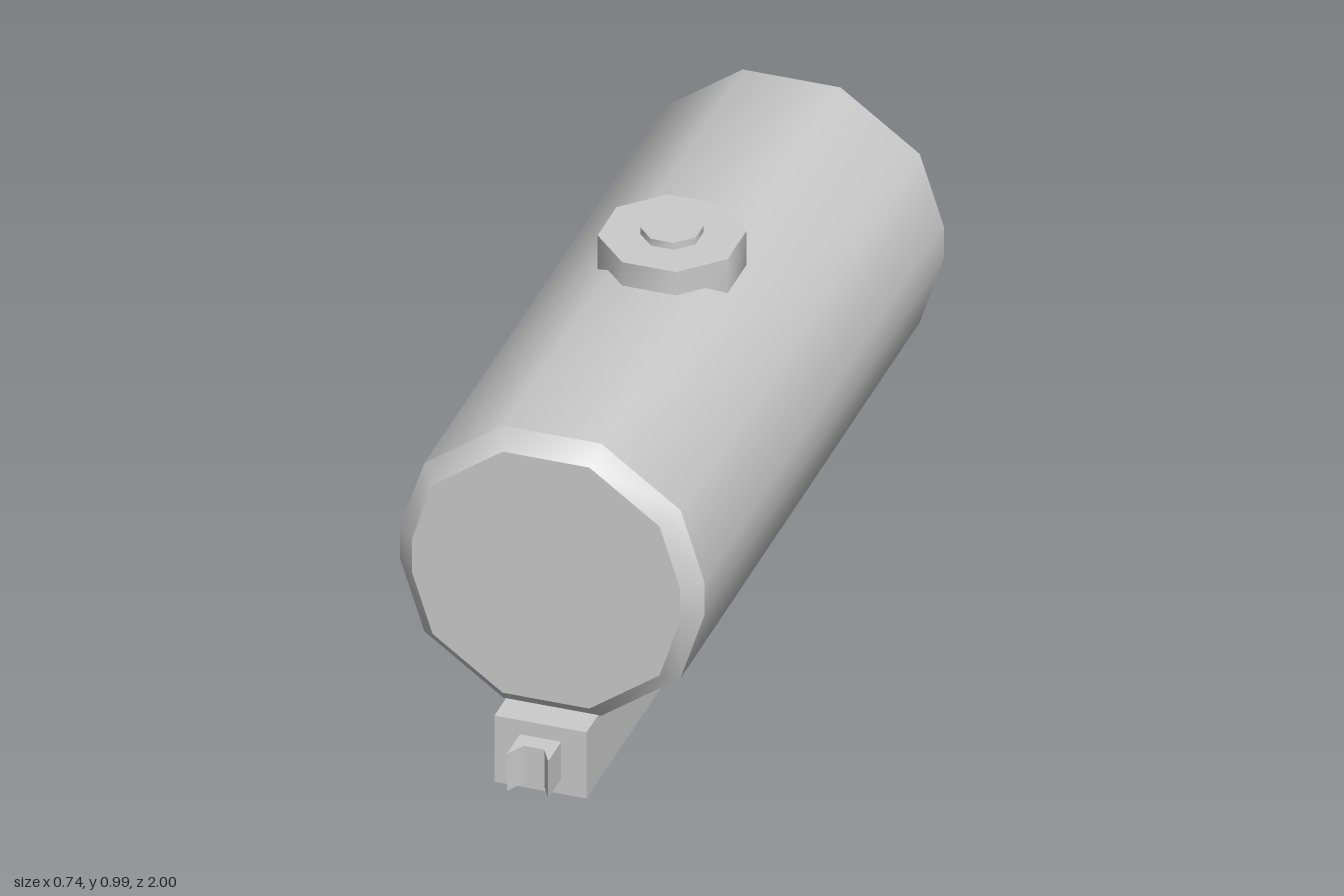
import * as THREE from 'three';
import { toCreasedNormals } from 'three/addons/utils/BufferGeometryUtils.js';

const material = new THREE.MeshStandardMaterial({ color: 0xcccccc });

function add(group, name, geometry, x = 0, y = 0, z = 0) {
  const mesh = new THREE.Mesh(geometry, material);
  mesh.name = name;
  mesh.position.set(x, y, z);
  group.add(mesh);
  return mesh;
}

// Ten-sided outline whose two side corners are cut off flat at x = +-side
function outline(radius, side) {
  const points = [];
  for (let i = 0; i < 10; i++) {
    const a = (i * Math.PI) / 5;
    if (i % 5 === 0) {
      const s = i === 0 ? 1 : -1;
      points.push([s * side, -s * 0.044], [s * side, s * 0.044]);
    } else points.push([radius * Math.cos(a), radius * Math.sin(a)]);
  }
  return points;
}

// Barrel lofted along z through four rings, closed by flat ends
function tankGeometry() {
  const outer = outline(0.385, 0.37);
  const inner = outline(0.341, 0.326);
  const rings = [[inner, -0.872], [outer, -0.828], [outer, 0.828], [inner, 0.872]];
  const n = outer.length;
  const positions = [];
  const index = [];
  for (const [ring, z] of rings) for (const [x, y] of ring) positions.push(x, y, z);
  for (let r = 0; r < rings.length - 1; r++) {
    for (let i = 0; i < n; i++) {
      const a = r * n + i, b = r * n + ((i + 1) % n);
      index.push(a, b, b + n, a, b + n, a + n);
    }
  }
  const last = (rings.length - 1) * n;
  for (let i = 1; i < n - 1; i++) {
    index.push(0, i + 1, i);
    index.push(last, last + i, last + i + 1);
  }
  const geometry = new THREE.BufferGeometry();
  geometry.setAttribute('position', new THREE.Float32BufferAttribute(positions, 3));
  geometry.setIndex(index);
  return toCreasedNormals(geometry, 0.7);
}

// Upright octagonal prism with its flats facing the axes
function octagon(apothem, height) {
  const r = apothem / Math.cos(Math.PI / 8);
  const geometry = new THREE.CylinderGeometry(r, r, height, 8);
  geometry.rotateY(Math.PI / 8);
  return toCreasedNormals(geometry, 0.9);
}

// Notched block, drawn in plan and extruded upward; it points along +z
function couplerGeometry() {
  const plan = [[-0.05, 0], [-0.05, -0.1], [-0.025, -0.055], [0.025, -0.055], [0.05, -0.1], [0.05, 0]];
  const shape = new THREE.Shape(plan.map(([x, y]) => new THREE.Vector2(x, y)));
  const geometry = new THREE.ExtrudeGeometry(shape, { depth: 0.1, bevelEnabled: false });
  geometry.rotateX(-Math.PI / 2);
  return geometry;
}

export function createModel() {
  const model = new THREE.Group();
  model.name = 'tankWagon';

  add(model, 'tank', tankGeometry(), 0, 0.543, 0);
  add(model, 'chassisBeam', new THREE.BoxGeometry(0.224, 0.178, 1.82), 0, 0.089, 0);

  // Filler dome and its cap
  add(model, 'fillerDome', octagon(0.158, 0.13), 0, 0.907, 0);
  add(model, 'fillerCap', octagon(0.067, 0.03), 0, 0.975, 0);

  // Couplers at both ends of the beam
  const coupler = couplerGeometry();
  add(model, 'frontCoupler', coupler, 0, 0.04, 0.9);
  add(model, 'backCoupler', coupler, 0, 0.04, -0.9).rotation.y = Math.PI;

  return model;
}
